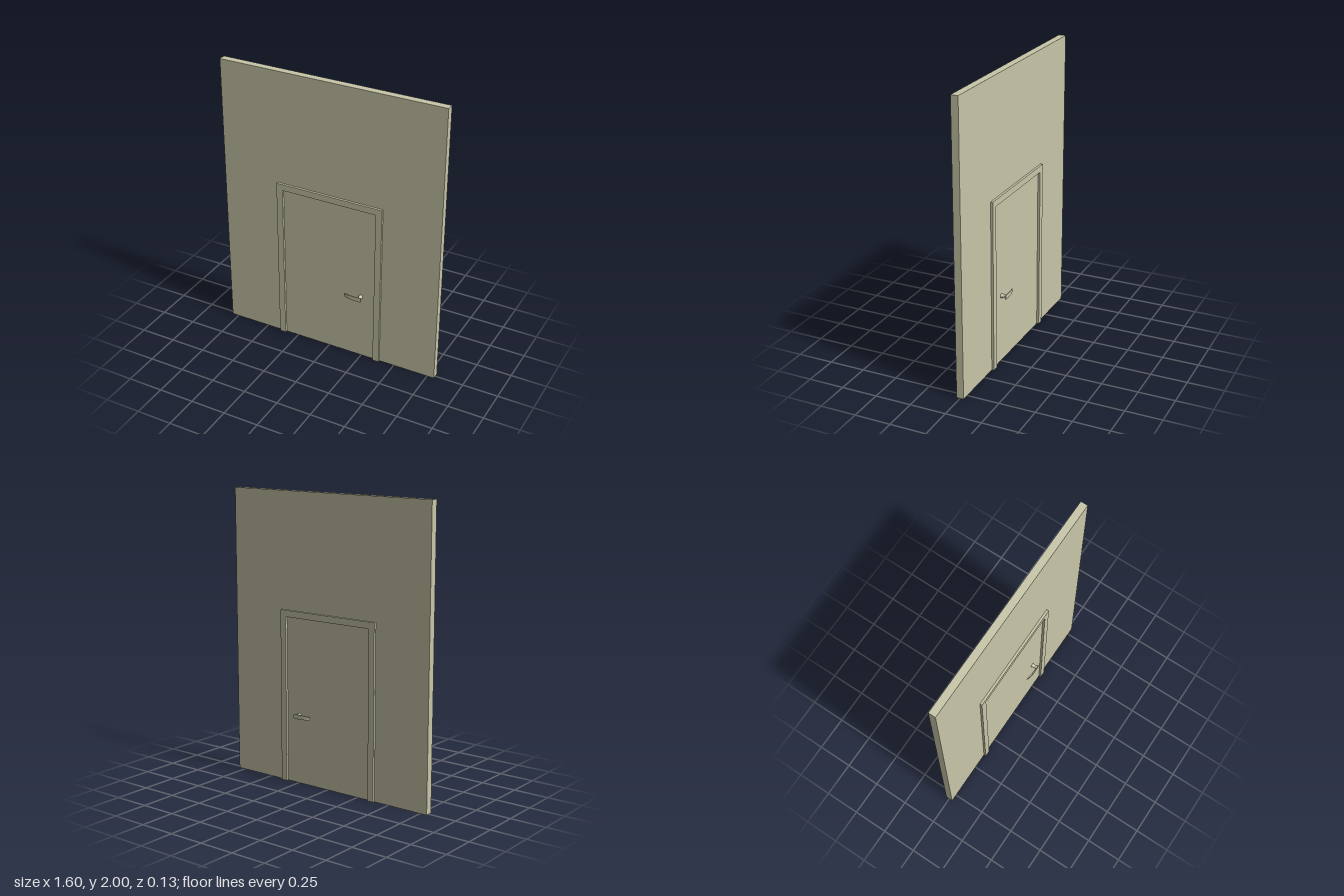
import * as THREE from 'three';

const paint = new THREE.MeshStandardMaterial({ color: 0xc8c6a8 });
paint.name = 'beige paint';

// Flat plate from an outline, centred on z = 0
function plate(name, points, depth) {
  const shape = new THREE.Shape(points.map(([x, y]) => new THREE.Vector2(x, y)));
  const geo = new THREE.ExtrudeGeometry(shape, { depth, bevelEnabled: false });
  geo.translate(0, 0, -depth / 2);
  const mesh = new THREE.Mesh(geo, paint);
  mesh.name = name;
  return mesh;
}

// Outline of an upside-down U: outer half width and height, inner half width and height
const arch = (ow, oh, iw, ih) => [
  [-ow, 0], [-iw, 0], [-iw, ih], [iw, ih], [iw, 0], [ow, 0], [ow, oh], [-ow, oh],
];

// Lever lofted from rectangular sections: x, half height, inner z, outer z
function leverGeometry() {
  const sections = [
    [0.128, 0.007, 0.051, 0.053], [0.133, 0.010, 0.052, 0.0555],
    [0.147, 0.012, 0.054, 0.061], [0.165, 0.0135, 0.0575, 0.0645],
    [0.185, 0.0148, 0.060, 0.0665], [0.215, 0.0158, 0.061, 0.067],
    [0.253, 0.016, 0.061, 0.067], [0.259, 0.0125, 0.061, 0.067],
  ];
  const pos = [], idx = [];
  for (const [x, h, zi, zo] of sections) pos.push(x, -h, zi, x, -h, zo, x, h, zo, x, h, zi);
  for (let s = 0; s < sections.length - 1; s++) {
    for (let k = 0; k < 4; k++) {
      const a = s * 4 + k, b = s * 4 + (k + 1) % 4;
      idx.push(a, a + 4, b, b, a + 4, b + 4);
    }
  }
  const e = (sections.length - 1) * 4;
  idx.push(0, 1, 2, 0, 2, 3, e, e + 2, e + 1, e, e + 3, e + 2);
  const geo = new THREE.BufferGeometry();
  geo.setAttribute('position', new THREE.Float32BufferAttribute(pos, 3));
  geo.setIndex(idx);
  const flat = geo.toNonIndexed();
  flat.computeVertexNormals();
  return flat;
}

// Lever with a waisted post, standing out along +z
function handle(name) {
  const group = new THREE.Group();
  group.name = name;
  const lever = new THREE.Mesh(leverGeometry(), paint);
  lever.name = 'lever';
  const profile = [[0.016, 0.02], [0.014, 0.032], [0.010, 0.042], [0.010, 0.048], [0.013, 0.056], [0.016, 0.064]];
  const postGeo = new THREE.LatheGeometry(profile.map(([r, y]) => new THREE.Vector2(r, y)), 20);
  postGeo.rotateX(Math.PI / 2);
  const post = new THREE.Mesh(postGeo, paint);
  post.name = 'post';
  post.position.x = 0.24;
  group.add(lever, post);
  group.position.y = 0.482;
  return group;
}

export function createModel() {
  const model = new THREE.Group();
  model.name = 'doorInWall';

  model.add(plate('wall', arch(0.8, 2, 0.36, 1.17), 0.05));
  model.add(plate('frame', arch(0.39, 1.2, 0.345, 1.155), 0.082));
  model.add(plate('door', [[-0.345, 0], [0.345, 0], [0.345, 1.155], [-0.345, 1.155]], 0.05));

  // The back handle is the front one turned over
  const front = handle('frontHandle');
  const back = handle('backHandle');
  back.rotation.x = Math.PI;
  model.add(front, back);
  return model;
}
